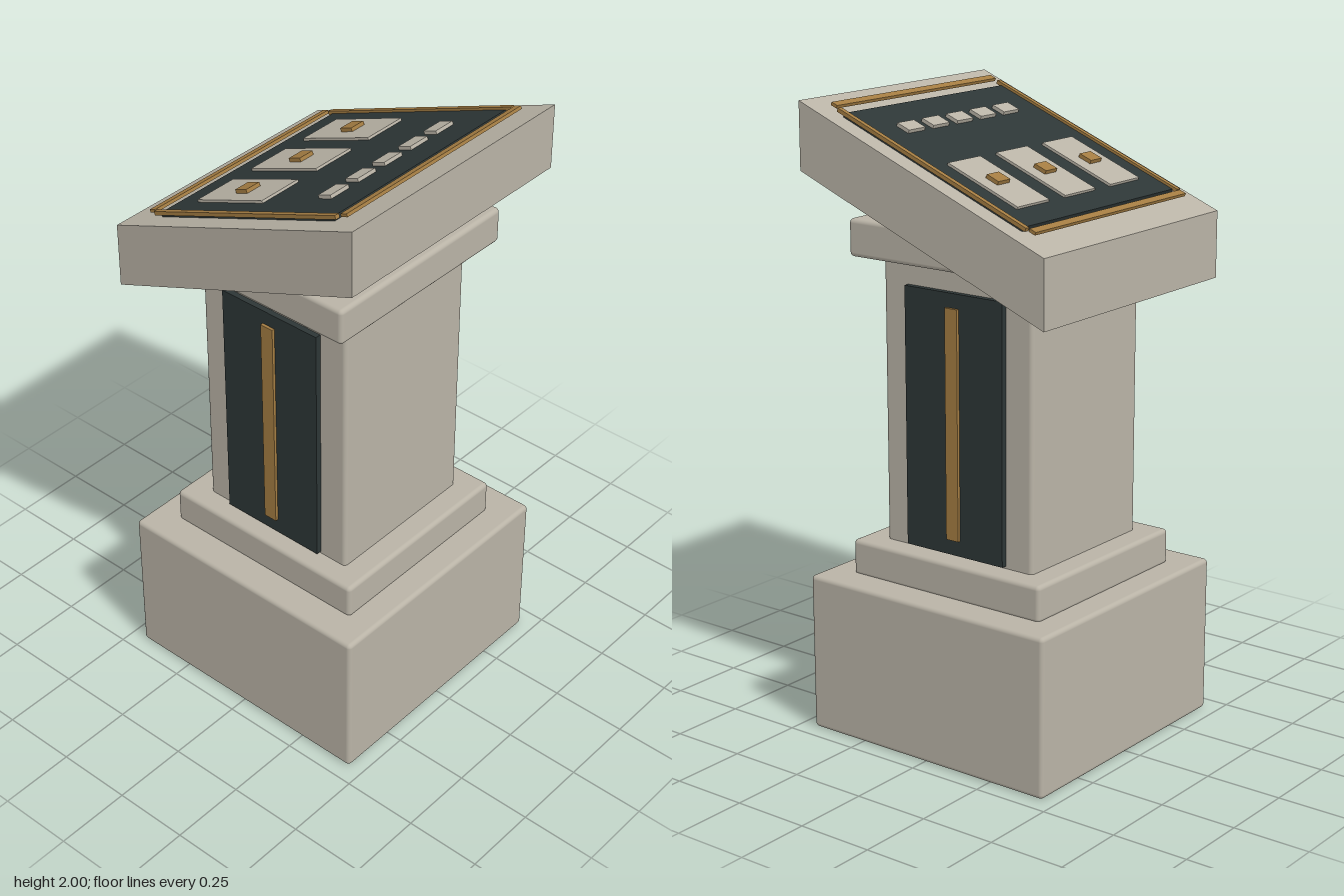
import * as THREE from 'three';
import { RoundedBoxGeometry } from 'three/addons/geometries/RoundedBoxGeometry.js';

const mat = (name, color) => {
  const m = new THREE.MeshStandardMaterial({ color });
  m.name = name;
  return m;
};

export function createModel() {
  const stone = mat('stone', 0xb9b3a6);
  const dark = mat('dark slate', 0x2d3636);
  const bronze = mat('bronze', 0xa37c42);
  const model = new THREE.Group();
  model.name = 'lectern';

  const add = (parent, name, geometry, material, x, y, z) => {
    const mesh = new THREE.Mesh(geometry, material);
    mesh.name = name;
    mesh.position.set(x, y, z);
    parent.add(mesh);
    return mesh;
  };

  // Stacked stone blocks with softened edges: name, width, depth, bottom, top
  for (const [name, w, d, y0, y1] of [
    ['base', 0.905, 0.89, 0, 0.512],
    ['plinth', 0.725, 0.685, 0.505, 0.622],
    ['column', 0.565, 0.54, 0.6, 1.657],
    ['collar', 0.685, 0.72, 1.53, 1.647],
  ]) {
    add(model, name, new RoundedBoxGeometry(w, y1 - y0, d, 3, 0.014), stone, 0, (y0 + y1) / 2, 0);
  }

  // Inlaid panels with a bronze bar on the front and back of the column
  for (const [side, s] of [['front', 1], ['back', -1]]) {
    add(model, side + 'Panel', new THREE.BoxGeometry(0.37, 0.82, 0.025), dark, 0, 1.04, s * 0.2765);
    add(model, side + 'Bar', new THREE.BoxGeometry(0.046, 0.725, 0.018), bronze, 0, 1.0425, s * 0.29);
  }

  // Sloping desk slab with upright ends
  const profile = new THREE.Shape([
    [-0.453, 1.43], [0.453, 1.79], [0.453, 2.0], [-0.453, 1.64],
  ].map(([x, y]) => new THREE.Vector2(x, y)));
  add(model, 'desk', new THREE.ExtrudeGeometry(profile, { depth: 0.89, bevelEnabled: false }), stone, 0, 0, -0.445);

  // Control surface lying on the slope; plates are given by plan extents and height above the slab
  const slope = Math.atan2(0.36, 0.906);
  const surface = new THREE.Group();
  surface.name = 'controlSurface';
  surface.position.y = 1.82;
  surface.rotation.z = slope;
  model.add(surface);
  const plate = (name, material, x0, x1, z0, z1, h0, h1) => {
    const c = Math.cos(slope);
    const x = ((x0 + x1) / 2 + h1 * Math.sin(slope)) / c;
    add(surface, name, new THREE.BoxGeometry((x1 - x0) / c, h1 - h0, z1 - z0), material,
      x, (h0 + h1) / 2, (z0 + z1) / 2);
  };

  plate('controlPanel', dark, -0.332, 0.33, -0.38, 0.38, 0, 0.014);

  // Bronze border strips
  for (const s of [-1, 1]) {
    plate('endStrip', bronze, s * 0.367 - 0.011, s * 0.367 + 0.011, -0.383, 0.381, 0.013, 0.023);
    plate('sideStrip', bronze, -0.35, 0.346, s * 0.384 - 0.008, s * 0.384 + 0.008, 0.01, 0.022);
  }

  // Three large pads with bronze buttons
  for (const z of [-0.232, -0.002, 0.228]) {
    plate('pad', stone, -0.257, -0.002, z - 0.076, z + 0.076, 0.013, 0.022);
    plate('padButton', bronze, -0.151, -0.108, z - 0.028, z + 0.028, 0.022, 0.034);
  }

  // Row of five small keys
  for (let i = -2; i <= 2; i++) {
    const z = -0.002 + i * 0.115;
    plate('key', stone, 0.175, 0.22, z - 0.038, z + 0.038, 0.013, 0.025);
  }

  return model;
}
